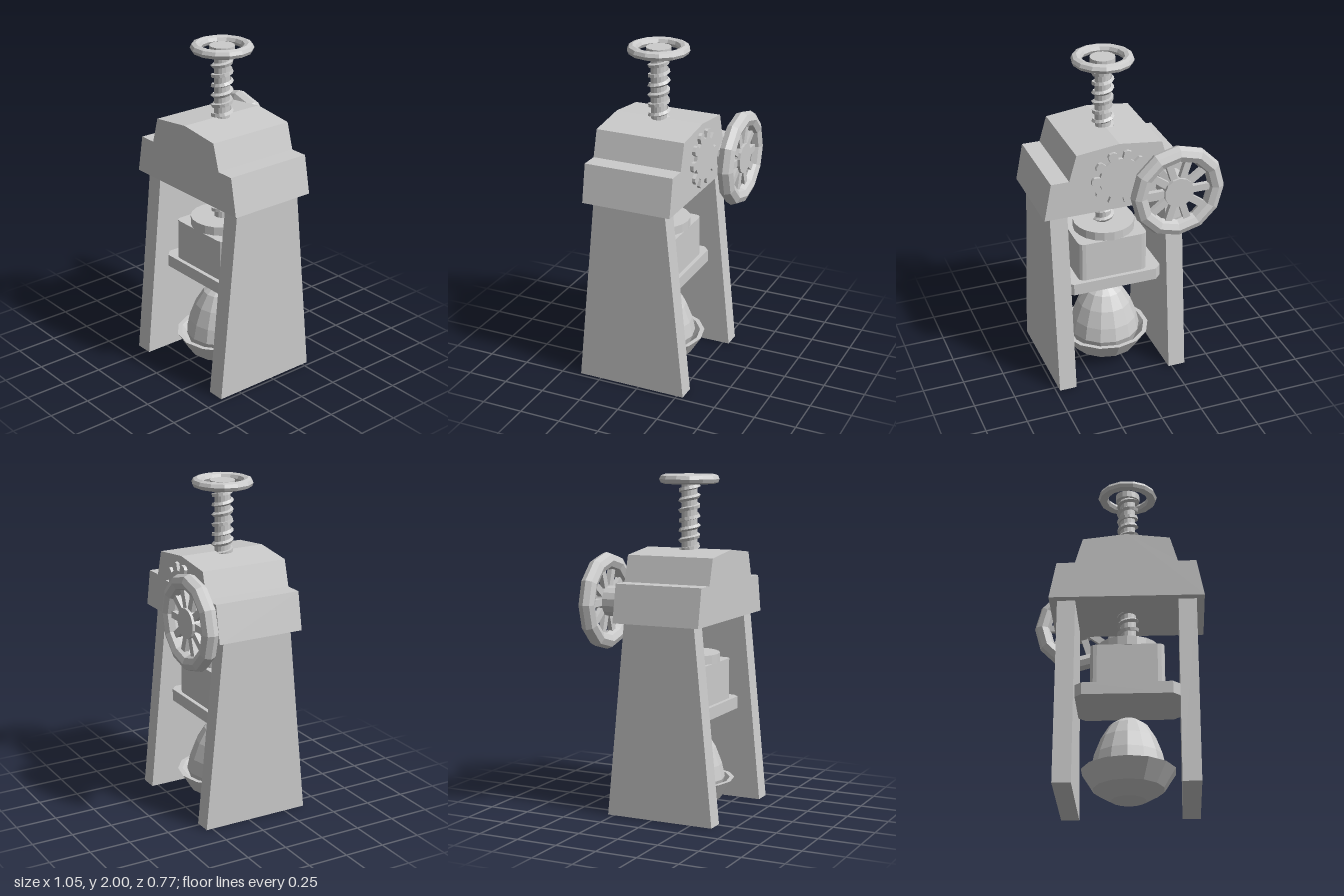
import * as THREE from 'three';

const CX = 0.07, CZ = 0.048; // press axis
const material = new THREE.MeshStandardMaterial({ color: 0xcccccc, flatShading: true });
const doubleSided = new THREE.MeshStandardMaterial({ color: 0xcccccc, flatShading: true, side: THREE.DoubleSide });

function add(parent, name, geometry, x = 0, y = 0, z = 0, mat = material) {
  const mesh = new THREE.Mesh(geometry, mat);
  mesh.name = name;
  mesh.position.set(x, y, z);
  parent.add(mesh);
  return mesh;
}

const extrude = (shape, depth, curveSegments = 3) =>
  new THREE.ExtrudeGeometry(shape, { depth, bevelEnabled: false, curveSegments });

const polygon = (points) => new THREE.Shape(points.map(([x, y]) => new THREE.Vector2(x, y)));

const lathe = (points, segments) =>
  new THREE.LatheGeometry(points.map(([r, y]) => new THREE.Vector2(r, y)), segments);

// Upright block with rounded vertical corners, standing on y = 0
function roundedBlock(w, h, d, r, steps) {
  const a = w / 2, b = d / 2, s = new THREE.Shape();
  s.moveTo(-a + r, -b);
  s.lineTo(a - r, -b);
  s.quadraticCurveTo(a, -b, a, -b + r);
  s.lineTo(a, b - r);
  s.quadraticCurveTo(a, b, a - r, b);
  s.lineTo(-a + r, b);
  s.quadraticCurveTo(-a, b, -a, b - r);
  s.lineTo(-a, -b + r);
  s.quadraticCurveTo(-a, -b, -a + r, -b);
  return extrude(s, h, steps).rotateX(-Math.PI / 2);
}

// Helical path of the screw thread
class Helix extends THREE.Curve {
  constructor(radius, height, turns) {
    super();
    Object.assign(this, { radius, height, turns, arcLengthDivisions: 800 });
  }
  getPoint(t, target = new THREE.Vector3()) {
    const a = t * this.turns * Math.PI * 2;
    return target.set(this.radius * Math.cos(a), t * this.height, -this.radius * Math.sin(a));
  }
}

function gearShape(teeth, outer, inner) {
  const points = [];
  for (let i = 0; i < teeth; i++) {
    for (const [f, r] of [[-0.32, inner], [-0.27, outer * 0.94], [-0.12, outer], [0.12, outer], [0.27, outer * 0.94], [0.32, inner]]) {
      const a = ((i + f) / teeth) * Math.PI * 2;
      points.push([r * Math.cos(a), r * Math.sin(a)]);
    }
  }
  return polygon(points);
}

export function createModel() {
  const model = new THREE.Group();
  model.name = 'screwPress';

  // Stepped head block
  const half = [[0.453, 1.155], [0.41, 1.38], [0.302, 1.38], [0.257, 1.535]];
  const headProfile = [
    ...half.map(([x, y]) => [CX + x, y]),
    [CX, 1.565],
    ...half.slice().reverse().map(([x, y]) => [CX - x, y]),
  ];
  add(model, 'head', extrude(polygon(headProfile), 0.545), 0, 0, -0.226);

  // Tapered side legs
  const legShape = polygon([[-0.337, 0], [0.337, 0], [0.223, 1.156], [-0.223, 1.156]]);
  for (const [name, side] of [['leftLeg', 1], ['rightLeg', -1]]) {
    const geometry = extrude(legShape, 0.106).translate(0, 0, -0.053).rotateY(Math.PI / 2);
    add(model, name, geometry, CX + side * 0.354, 0, CZ);
  }

  // Screw with its thread
  const screw = new THREE.Group();
  screw.name = 'screw';
  screw.position.set(CX, 0, CZ);
  model.add(screw);
  add(screw, 'screwCore', new THREE.CylinderGeometry(0.047, 0.047, 1.05, 14), 0, 1.455, 0);
  add(screw, 'screwThread', new THREE.TubeGeometry(new Helix(0.053, 1.0, 17), 17 * 14, 0.014, 4), 0, 0.945, 0);
  add(screw, 'screwCap', new THREE.CylinderGeometry(0.073, 0.073, 0.04, 16), 0, 1.965, 0);
  const ring = new THREE.TorusGeometry(0.15, 0.032, 8, 14).rotateX(Math.PI / 2).scale(1, 0.88, 1);
  add(screw, 'topHandwheel', ring, 0, 1.972, 0);

  // Ram: collar, block and pressing plate
  const ram = new THREE.Group();
  ram.name = 'ram';
  ram.position.set(CX, 0, CZ);
  model.add(ram);
  add(ram, 'ramCollar', new THREE.CylinderGeometry(0.185, 0.185, 0.055, 20), 0, 0.915, 0);
  add(ram, 'ramBlock', roundedBlock(0.43, 0.247, 0.36, 0.04, 3), 0, 0.643, 0);
  add(ram, 'pressPlate', roundedBlock(0.606, 0.073, 0.41, 0.042, 1), 0, 0.571, 0);

  // Open bowl holding an egg-shaped body
  const bowl = [[0, 0.003], [0.1, 0.003], [0.205, 0.065], [0.275, 0.176], [0.248, 0.176], [0.185, 0.085], [0, 0.03]];
  add(model, 'bowl', lathe(bowl, 14), CX, 0, CZ, doubleSided);
  const egg = [[0, 0.03], [0.12, 0.045], [0.19, 0.1], [0.218, 0.18], [0.2, 0.265], [0.162, 0.365], [0.112, 0.447], [0.055, 0.485], [0, 0.493]];
  add(model, 'egg', lathe(egg, 14), CX, 0, CZ);

  // Gear on the back of the head
  add(model, 'gear', extrude(gearShape(10, 0.173, 0.125), 0.025), CX, 1.355, -0.246);

  // Spoked handwheel behind the head
  const wheel = new THREE.Group();
  wheel.name = 'sideHandwheel';
  wheel.position.set(-0.24, 1.265, -0.34);
  model.add(wheel);
  add(wheel, 'wheelRim', new THREE.TorusGeometry(0.238, 0.049, 8, 12));
  add(wheel, 'wheelHub', new THREE.CylinderGeometry(0.09, 0.09, 0.155, 14).rotateX(Math.PI / 2), 0, 0, 0.0475);
  for (let i = 0; i < 10; i++) {
    const spoke = new THREE.BoxGeometry(0.15, 0.042, 0.03).translate(0.145, 0, 0);
    add(wheel, 'wheelSpoke', spoke.rotateZ((i / 10) * Math.PI * 2));
  }

  return model;
}
